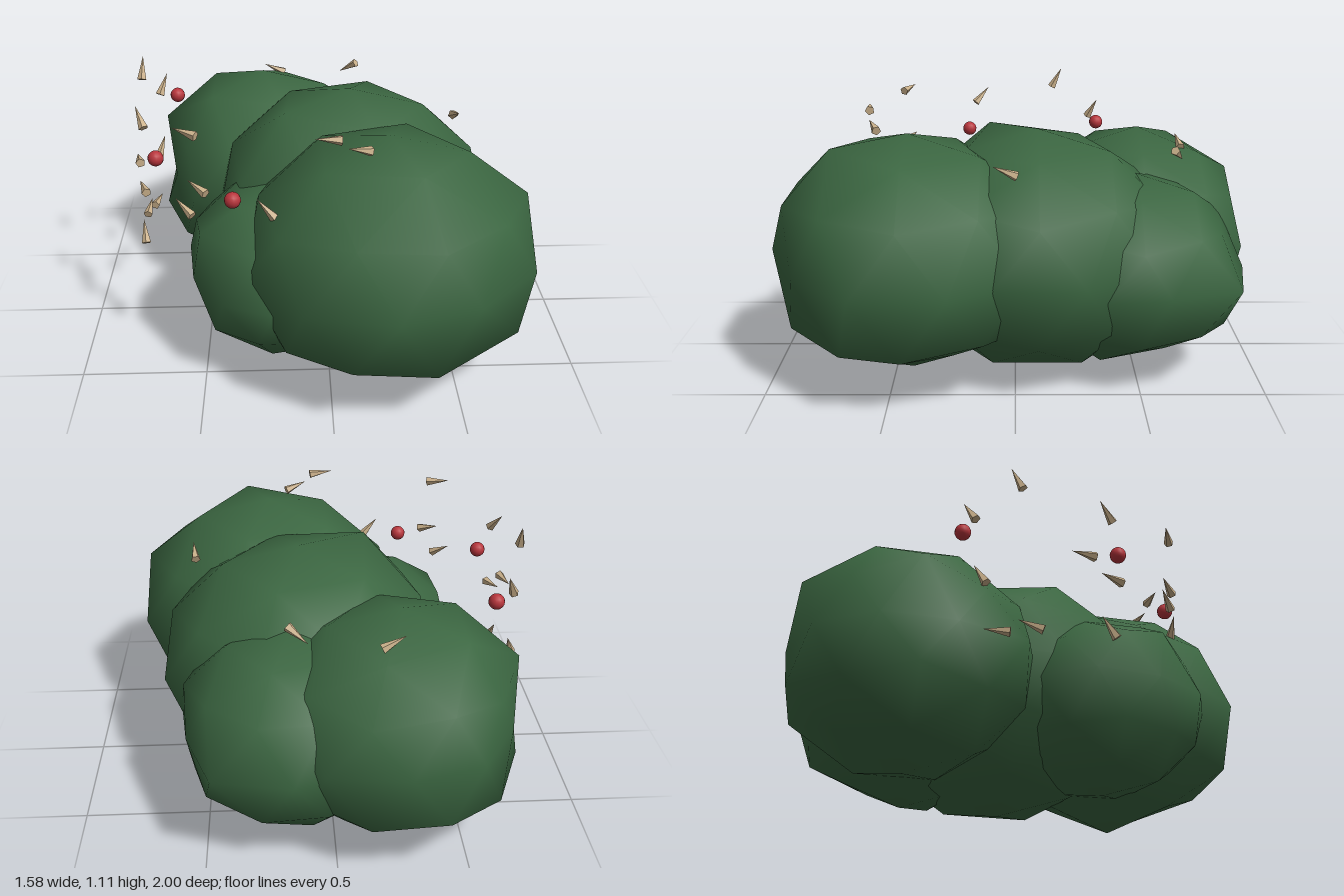
import * as THREE from 'three';
import { mergeVertices } from 'three/addons/utils/BufferGeometryUtils.js';

const mat = (name, color) => {
  const m = new THREE.MeshStandardMaterial({ color });
  m.name = name;
  return m;
};

// Smooth faceted ball standing on a vertex, r wide and h high
function lumpGeometry(r, h) {
  let g = new THREE.IcosahedronGeometry(1, 1);
  g.deleteAttribute('uv');
  g.deleteAttribute('normal');
  g = mergeVertices(g, 1e-4);
  g.rotateX(-Math.atan((1 + Math.sqrt(5)) / 2));
  g.rotateY(Math.PI / 2);
  g.userData = { r, h };
  return g.scale(r, h, r);
}

// Moves the vertex at an azimuth (degrees from +x towards +z) and unit height
function nudge(g, deg, level, dx, dy, dz) {
  const { r, h } = g.userData;
  const a = THREE.MathUtils.degToRad(deg), w = Math.sqrt(1 - level * level);
  const dir = new THREE.Vector3(w * Math.cos(a), level, w * Math.sin(a));
  const p = g.attributes.position;
  const v = new THREE.Vector3();
  for (let i = 0; i < p.count; i++) {
    v.fromBufferAttribute(p, i);
    if (v.set(v.x / r, v.y / h, v.z / r).normalize().dot(dir) > 0.96) {
      p.setXYZ(i, p.getX(i) + dx, p.getY(i) + dy, p.getZ(i) + dz);
    }
  }
}

export function createModel() {
  const group = new THREE.Group();
  group.name = 'thornyBush';
  const leaf = mat('leaf green', 0x3b6641);
  const red = mat('berry red', 0xb8353c);
  const horn = mat('thorn tan', 0xcab08a);

  const add = (name, geometry, material, x, y, z) => {
    const mesh = new THREE.Mesh(geometry, material);
    mesh.name = name;
    mesh.position.set(x, y, z);
    group.add(mesh);
    return mesh;
  };
  const addLump = (name, centre, r, h, nudges) => {
    const g = lumpGeometry(r, h);
    nudges.forEach((n) => nudge(g, ...n));
    g.computeVertexNormals();
    add(name, g, leaf, ...centre);
  };

  // Foliage lumps: name, centre, width radius, height radius, nudges
  addLump('frontFoliage', [0.23, 0.508, 0.43], 0.587, 0.503, [
    [54, 0, -0.035, 0, -0.045], [90, 0, 0, 0.02, -0.022],
    [0, 0.447, 0.015, 0.027, 0], [72, 0.447, 0, 0.027, -0.02], [72, 0.85, 0, 0.034, 0],
    [36, -0.447, 0.07, -0.013, -0.08],
    [36, -0.85, -0.04, 0.05, 0], [-36, -0.85, -0.06, 0.06, 0], [108, -0.85, 0, 0.035, -0.045],
  ]);
  addLump('middleFoliage', [0.11, 0.505, -0.09], 0.587, 0.5, [
    [144, 0.85, -0.025, 0.045, 0.018], [144, 0.447, -0.03, 0, 0.04],
  ]);
  addLump('sideFoliage', [-0.16, 0.405, 0.29], 0.43, 0.37, [
    [144, 0.447, -0.03, 0.05, -0.06], [162, 0, 0.03, 0, 0],
    [90, 0, -0.06, 0, 0], [180, -0.447, 0.045, 0, 0],
  ]);
  addLump('backFoliage', [-0.26, 0.48, -0.535], 0.53, 0.455, [
    [-90, 0, 0, 0, 0.065], [-126, 0, 0.04, 0, 0.05], [-162, 0, 0.085, 0, 0.02],
    [162, 0, 0.095, 0, -0.02], [144, 0.447, 0.04, -0.02, -0.02], [-144, 0.447, 0.04, -0.02, 0.03],
    [-72, 0.447, 0, -0.03, 0.045], [-72, 0.85, 0, -0.03, 0], [-108, -0.85, 0, 0.05, 0],
  ]);
  addLump('backCornerFoliage', [0.16, 0.43, -0.49], 0.46, 0.4, [
    [-54, 0, 0.035, 0, -0.03], [-18, 0, -0.03, 0, 0.03],
    [-72, 0.447, 0, 0, 0.05], [-36, -0.85, -0.03, 0.04, 0.02],
  ]);

  // Berries
  const berry = new THREE.SphereGeometry(0.032, 14, 10);
  [[-0.642, 0.877, -0.385], [-0.68, 0.837, 0.22], [-0.365, 0.797, 0.525]]
    .forEach((c) => add('berry', berry, red, ...c));

  // Thorns: centre, then direction
  const thorn = new THREE.ConeGeometry(0.02, 0.1, 5).toNonIndexed();
  thorn.computeVertexNormals();
  const up = new THREE.Vector3(0, 1, 0);
  [
    [-0.763, 1.07, -0.2, 0.005, 0.08, -0.04],
    [-0.74, 0.99, 0.16, -0.035, 0.07, -0.06],
    [-0.7, 0.935, -0.37, 0.03, 0.08, -0.04],
    [-0.535, 1.06, 0.49, -0.08, 0.015, -0.04],
    [-0.5, 0.838, 0.49, -0.07, 0.03, -0.06],
    [-0.555, 0.74, 0.46, -0.06, 0.045, -0.05],
    [-0.77, 0.765, 0.055, -0.02, 0, -0.09],
    [-0.745, 0.69, 0.17, -0.03, 0.01, -0.08],
    [-0.72, 0.655, -0.33, 0.025, 0.08, -0.04],
    [-0.755, 0.475, 0.15, -0.01, 0.07, -0.05],
    [-0.77, 0.44, -0.15, 0.01, 0.03, -0.08],
    [-0.745, 0.415, -0.27, 0.02, 0.01, -0.08],
    [-0.01, 1.07, 0.605, -0.09, 0.01, 0.01],
    [0.105, 1.017, 0.58, -0.08, 0.025, 0.035],
    [-0.24, 0.8, 0.605, -0.045, 0.055, 0],
    [0.54, 0.935, 0.04, 0.01, 0.035, 0.08],
    [-0.21, 0.885, -0.712, -0.06, 0.03, 0.01],
    [0.135, 0.9, -0.667, -0.07, -0.05, -0.04],
  ].forEach(([x, y, z, ...d]) => {
    const dir = new THREE.Vector3(...d).normalize();
    add('thorn', thorn, horn, x, y, z).quaternion.setFromUnitVectors(up, dir);
  });

  return group;
}
